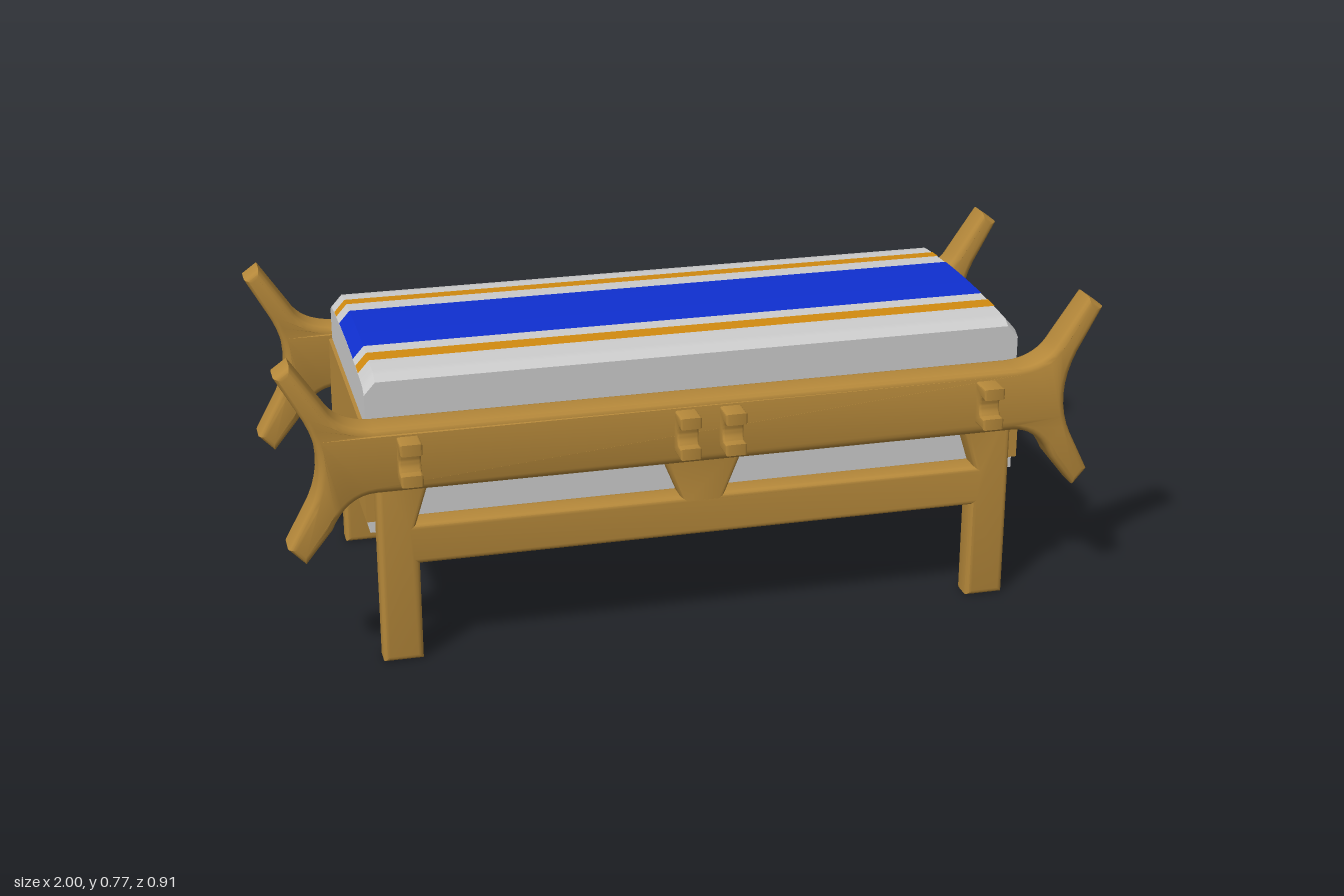
import * as THREE from 'three';
import { toCreasedNormals } from 'three/addons/utils/BufferGeometryUtils.js';

const wood = new THREE.MeshStandardMaterial({ color: 0xb5883a });
const cloth = new THREE.MeshStandardMaterial({ color: 0xcccccc });
const blue = new THREE.MeshStandardMaterial({ color: 0x0f2fd0 });
const gold = new THREE.MeshStandardMaterial({ color: 0xd08a10 });

const X0 = -0.79, X1 = 0.815, HALF_Z = 0.31;

function mesh(name, geometry, material) {
  const m = new THREE.Mesh(geometry, material);
  m.name = name;
  return m;
}

// Extrudes a shape with rounded edges, centred on z = 0
function slab(shape, depth, bevel) {
  const g = new THREE.ExtrudeGeometry(shape, {
    depth: depth - 2 * bevel, bevelEnabled: true, bevelSize: bevel,
    bevelThickness: bevel, bevelOffset: -bevel, bevelSegments: 3, curveSegments: 8,
  });
  return g.translate(0, 0, bevel - depth / 2);
}

const polygon = pts => pts.map(p => new THREE.Vector2(...p));

// Long rail ending in a forked pair of arms on both sides
function railGeometry() {
  const s = new THREE.Shape();
  s.moveTo(-0.78, 0.602);
  s.lineTo(0.78, 0.602);
  s.quadraticCurveTo(0.86, 0.605, 0.89, 0.66);
  s.lineTo(0.963, 0.77);
  s.lineTo(1.0, 0.743);
  s.lineTo(0.94, 0.635);
  s.quadraticCurveTo(0.885, 0.525, 0.935, 0.42);
  s.lineTo(0.985, 0.32);
  s.lineTo(0.95, 0.278);
  s.lineTo(0.885, 0.36);
  s.quadraticCurveTo(0.85, 0.44, 0.78, 0.44);
  s.lineTo(-0.78, 0.44);
  s.quadraticCurveTo(-0.85, 0.44, -0.885, 0.36);
  s.lineTo(-0.95, 0.278);
  s.lineTo(-0.99, 0.32);
  s.lineTo(-0.935, 0.42);
  s.quadraticCurveTo(-0.885, 0.525, -0.94, 0.635);
  s.lineTo(-1.0, 0.743);
  s.lineTo(-0.963, 0.77);
  s.lineTo(-0.89, 0.66);
  s.quadraticCurveTo(-0.86, 0.605, -0.78, 0.602);
  const g = slab(s, 0.082, 0.016);
  // Swell the forks slightly around their middle
  const p = g.attributes.position;
  for (let i = 0; i < p.count; i++) {
    const out = THREE.MathUtils.smoothstep(Math.abs(p.getX(i)), 0.78, 0.89);
    const mid = Math.max(0, 1 - ((p.getY(i) - 0.5) / 0.25) ** 2);
    p.setZ(i, p.getZ(i) * (1 + 0.16 * out * mid));
  }
  return toCreasedNormals(g, 0.6);
}

// Two legs, apron and centre block, with two window openings
function underframeGeometry() {
  const s = new THREE.Shape(polygon([
    [-0.78, 0], [-0.685, 0], [-0.685, 0.248], [0.685, 0.248], [0.685, 0],
    [0.78, 0], [0.78, 0.5], [-0.78, 0.5],
  ]));
  for (const k of [-1, 1]) {
    s.holes.push(new THREE.Path(polygon([
      [0.055 * k, 0.35], [0.69 * k, 0.35], [0.655 * k, 0.46], [0.1 * k, 0.46],
    ])));
  }
  return toCreasedNormals(slab(s, 0.07, 0.014), 0.6);
}

// C-shaped cleat: profile drawn in z (outward) and y
function cleatGeometry() {
  const s = new THREE.Shape();
  s.moveTo(0, 0.475);
  s.lineTo(0.075, 0.475);
  s.lineTo(0.075, 0.503);
  s.lineTo(0.05, 0.503);
  s.quadraticCurveTo(0.035, 0.527, 0.05, 0.552);
  s.lineTo(0.075, 0.552);
  s.lineTo(0.075, 0.58);
  s.lineTo(0, 0.58);
  return toCreasedNormals(slab(s, 0.052, 0.005).rotateY(-Math.PI / 2), 0.6);
}

// Height of the crowned mattress top, with softened ends and sides
function topHeight(x, z) {
  const end = Math.max(0, 0.026 - Math.min(x - X0, X1 - x)) / 0.026;
  const side = Math.max(0, 0.03 - (HALF_Z - Math.abs(z))) / 0.03;
  return 0.708 - 0.012 * (z / HALF_Z) ** 2 - 0.03 * end - 0.012 * side ** 2;
}

function mattressGeometry() {
  const g = new THREE.BoxGeometry(X1 - X0, 1, 2 * HALF_Z, 60, 1, 30);
  g.translate((X0 + X1) / 2, 0, 0);
  const p = g.attributes.position;
  for (let i = 0; i < p.count; i++) {
    p.setY(i, p.getY(i) > 0 ? topHeight(p.getX(i), p.getZ(i)) : 0.308);
  }
  return toCreasedNormals(g, 0.6);
}

// Coloured band laid over the mattress from z0 to z1
function stripeGeometry(z0, z1) {
  const g = new THREE.PlaneGeometry(X1 - X0, z1 - z0, 60, 10).rotateX(-Math.PI / 2);
  g.translate((X0 + X1) / 2, 0, (z0 + z1) / 2);
  const p = g.attributes.position;
  for (let i = 0; i < p.count; i++) p.setY(i, topHeight(p.getX(i), p.getZ(i)) + 0.002);
  return toCreasedNormals(g, 0.6);
}

export function createModel() {
  const model = new THREE.Group();
  model.name = 'stretcherBed';

  // Wooden sides, front and back
  const rail = railGeometry(), underframe = underframeGeometry(), cleat = cleatGeometry();
  for (const [name, dir] of [['frontSide', 1], ['backSide', -1]]) {
    const side = new THREE.Group();
    side.name = name;
    const r = mesh('forkedRail', rail, wood);
    r.position.z = 0.353 * dir;
    const u = mesh('legsAndApron', underframe, wood);
    u.position.z = 0.35 * dir;
    side.add(r, u);
    for (const x of [-0.705, -0.048, 0.062, 0.705]) {
      const c = mesh('cleat', cleat, wood);
      c.position.set(x, 0, 0.378 * dir);
      if (dir < 0) c.rotation.y = Math.PI;
      side.add(c);
    }
    model.add(side);
  }

  // End boards
  for (const [name, x] of [['leftEndBoard', 0.813], ['rightEndBoard', -0.788]]) {
    const b = mesh(name, new THREE.BoxGeometry(0.022, 0.235, 0.64), wood);
    b.position.set(x, 0.4575, 0);
    model.add(b);
  }

  // Mattress and its stripes
  model.add(mesh('mattress', mattressGeometry(), cloth));
  model.add(mesh('wideStripe', stripeGeometry(-0.13, 0.127), blue));
  model.add(mesh('frontStripe', stripeGeometry(0.17, 0.215), gold));
  model.add(mesh('backStripe', stripeGeometry(-0.227, -0.187), gold));
  return model;
}
